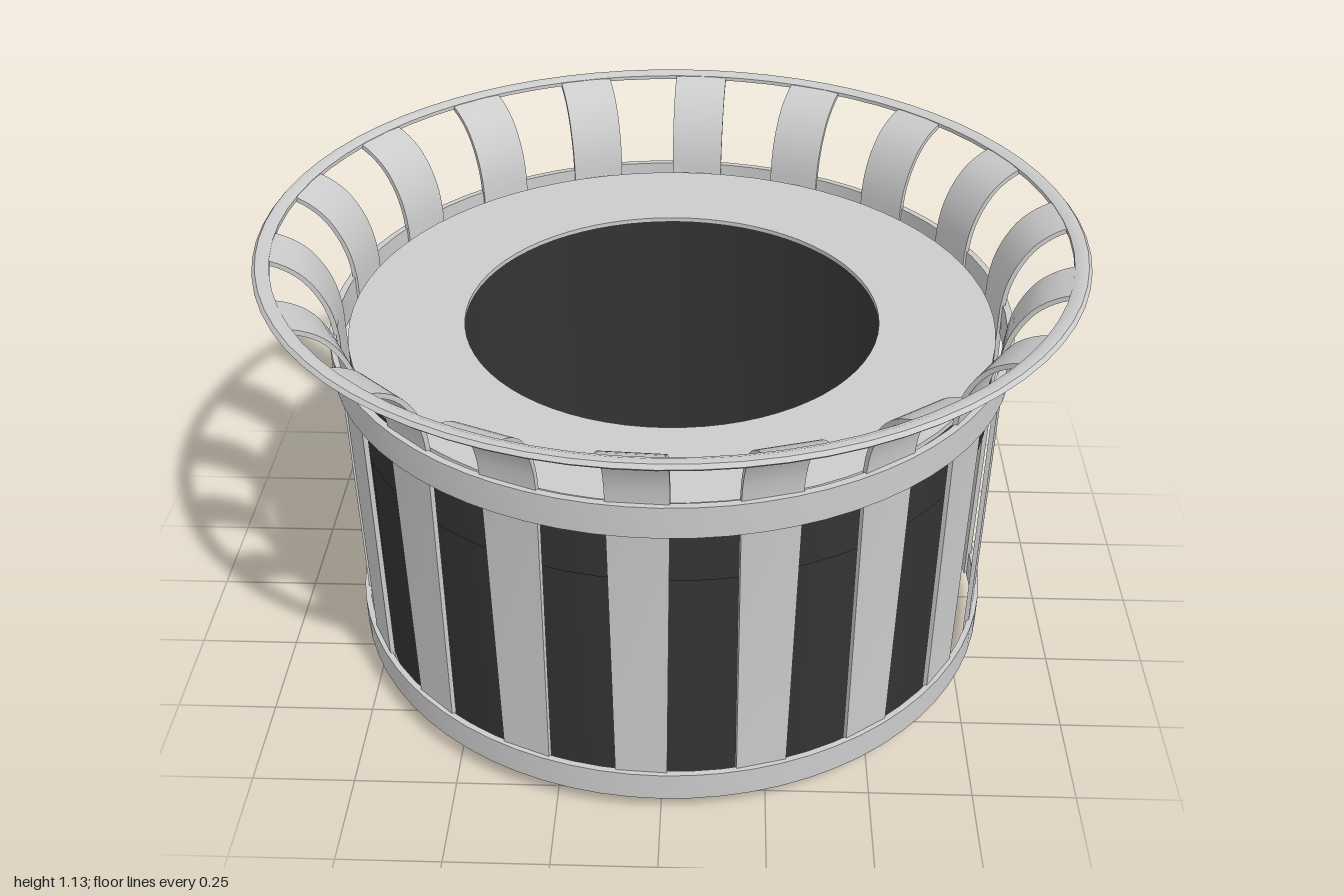
import * as THREE from 'three';
import { toCreasedNormals } from 'three/addons/utils/BufferGeometryUtils.js';

const SLATS = 18;
const grey = new THREE.MeshStandardMaterial({ color: 0xcccccc });
const dark = new THREE.MeshStandardMaterial({ color: 0x333333 });

// Closed ring or vessel turned around y; points run counter-clockwise in (radius, y)
function turned(name, points, material) {
  const profile = points.map(([r, y]) => new THREE.Vector2(r, y));
  const geometry = toCreasedNormals(new THREE.LatheGeometry(profile, 72), 0.6);
  const mesh = new THREE.Mesh(geometry, material);
  mesh.name = name;
  return mesh;
}

function band(name, inner, outer, bottom, top) {
  return turned(name, [[inner, bottom], [outer, bottom], [outer, top], [inner, top], [inner, bottom]], grey);
}

// Flat strip that stands almost upright, then flares outward at the top
function slatGeometry() {
  const thickness = 0.012;
  const flare = new THREE.CatmullRomCurve3([
    [0.828, 0.91], [0.836, 0.965], [0.856, 1.02], [0.89, 1.07], [0.93, 1.1], [0.975, 1.119],
  ].map(([r, y]) => new THREE.Vector3(r, y, 0)));
  const outer = [new THREE.Vector2(0.82, 0.055)];
  for (const p of flare.getPoints(14)) outer.push(new THREE.Vector2(p.x, p.y));
  const inner = outer.map((p, i) => {
    const a = outer[Math.max(i - 1, 0)];
    const b = outer[Math.min(i + 1, outer.length - 1)];
    const d = b.clone().sub(a).normalize();
    return new THREE.Vector2(p.x - d.y * thickness, p.y + d.x * thickness);
  });
  const shape = new THREE.Shape([...outer, ...inner.reverse()]);
  const geometry = new THREE.ExtrudeGeometry(shape, { depth: 1, bevelEnabled: false });
  geometry.translate(0, 0, -0.5);
  // Slats widen slightly towards the top
  const pos = geometry.attributes.position;
  for (let i = 0; i < pos.count; i++) {
    pos.setZ(i, pos.getZ(i) * (0.12 + 0.02 * pos.getY(i)));
  }
  return toCreasedNormals(geometry, 0.6);
}

export function createModel() {
  const model = new THREE.Group();
  model.name = 'slattedLitterBin';

  // Inner bucket, open at the top
  model.add(turned('liner', [
    [0, 0], [0.78, 0], [0.78, 0.87], [0.77, 0.87], [0.77, 0.012], [0, 0.012],
  ], dark));

  // Lid: dark skirt over the bucket, grey plate with a round opening
  model.add(turned('lidSkirt', [
    [0.782, 0.685], [0.8, 0.685], [0.8, 0.885], [0.782, 0.885], [0.782, 0.685],
  ], dark));
  model.add(band('lidPlate', 0.515, 0.8, 0.885, 0.897));

  // Hoops around the slats
  model.add(band('lowerBand', 0.818, 0.833, 0.05, 0.125));
  model.add(band('upperBand', 0.826, 0.843, 0.835, 0.915));

  // Slightly rounded top rim
  model.add(turned('topRim', [
    [0.96, 1.117], [0.975, 1.115], [0.992, 1.116], [1, 1.124], [0.992, 1.133],
    [0.975, 1.134], [0.96, 1.127], [0.96, 1.117],
  ], grey));

  const slats = new THREE.Group();
  slats.name = 'slats';
  const geometry = slatGeometry();
  for (let i = 0; i < SLATS; i++) {
    const slat = new THREE.Mesh(geometry, grey);
    slat.name = 'slat';
    slat.rotation.y = THREE.MathUtils.degToRad(6.8) + (i * Math.PI * 2) / SLATS;
    slats.add(slat);
  }
  model.add(slats);
  return model;
}
